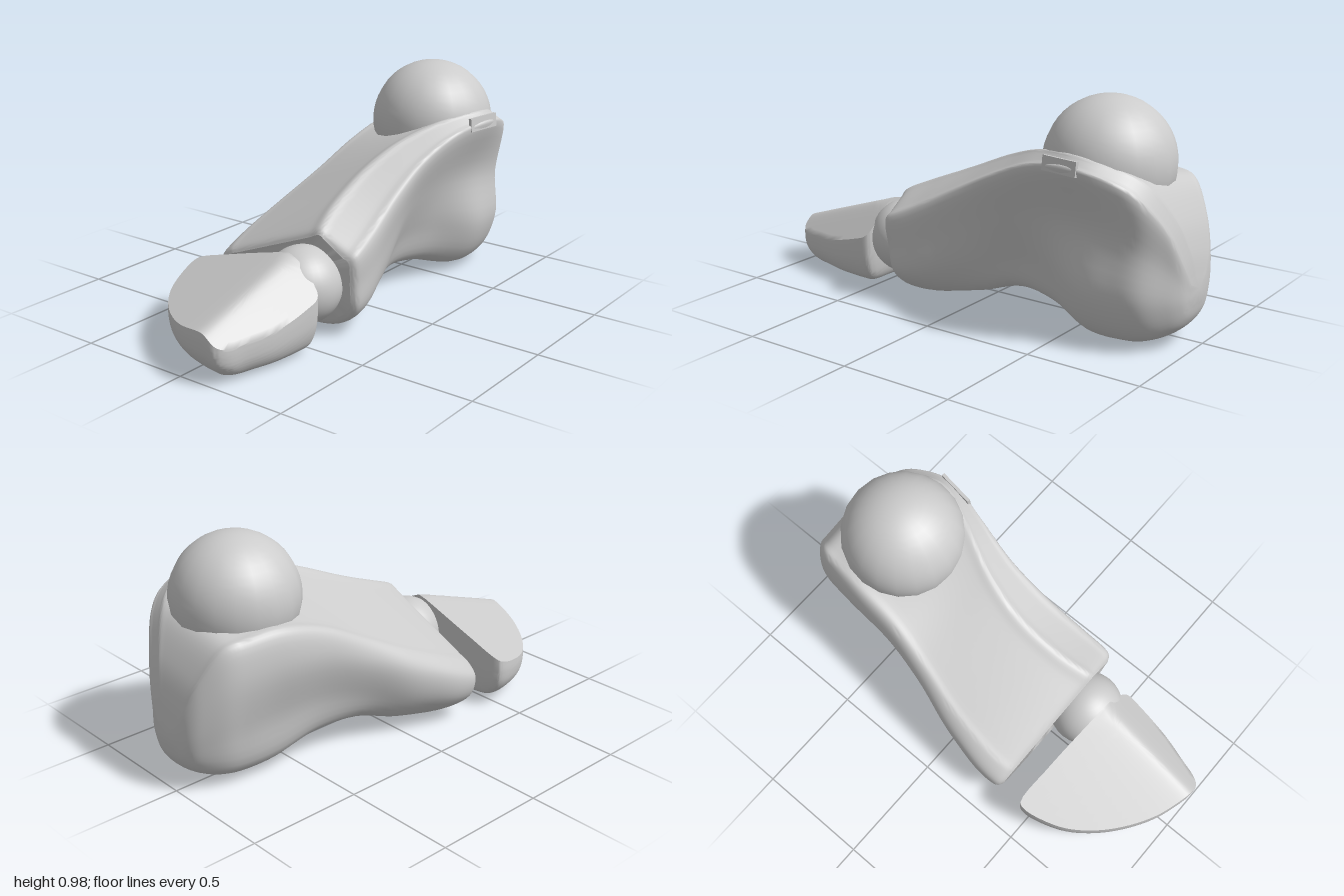
import * as THREE from 'three';
import { toCreasedNormals } from 'three/addons/utils/BufferGeometryUtils.js';

const RING = 84; // points around each cross-section
const STEPS = 6; // lofted steps between two section rows

// Smooth interpolation of all the columns between the section rows
function refine(rows) {
  const out = [];
  const at = (i) => rows[Math.min(Math.max(i, 0), rows.length - 1)];
  for (let i = 0; i < rows.length - 1; i++) {
    for (let s = 0; s < STEPS; s++) {
      const t = s / STEPS;
      out.push(rows[i].map((b, k) => {
        const a = at(i - 1)[k], c = at(i + 1)[k], d = at(i + 2)[k];
        return b + 0.5 * t * (c - a + t * (2 * a - 5 * b + 4 * c - d + t * (3 * (b - c) + d - a)));
      }));
    }
  }
  out.push(rows[rows.length - 1]);
  return out;
}

const closedCurve = (pts) => new THREE.CatmullRomCurve3(pts, true).getPoints(RING).slice(0, RING);

// One foot section: rounded sole, hollowed flanks, flat sloping top with a ridge
function section([z, xl, xr, yb, yl, rx, yr, yo, waist, arch]) {
  const X = (u) => xl + (xr - xl) * u;
  const hr = yo - yb, hl = yl - yb;
  const lx = X(0.07);
  const top = (t) => [rx + (lx - rx) * t, yr + (yl - yr) * t];
  const slant = (t) => [xr + (rx - xr) * t, yo + (yr - yo) * t];
  return closedCurve([
    [X(0.5), yb],
    [X(0.82) - arch * 0.6, yb + 0.05 * hr],
    [X(0.98) - arch, yb + 0.3 * hr],
    [xr - waist, yb + 0.65 * hr],
    slant(0), slant(0.25), slant(0.8),
    top(0), top(0.12), top(0.5), top(0.9), top(1),
    [xl + waist * 0.2, yb + 0.78 * hl],
    [X(0.02) + waist * 0.7, yb + 0.4 * hl],
    [X(0.18), yb + 0.08 * hl],
  ].map(([x, y]) => new THREE.Vector3(x, y, z)));
}

// Skin over a stack of rings, closed with a fan at both ends
function skin(rings, startCenter, endCenter) {
  const pos = [], index = [];
  [...rings.flat(), startCenter, endCenter].forEach((p) => pos.push(p.x, p.y, p.z));
  const last = (rings.length - 1) * RING, start = last + RING, end = start + 1;
  for (let j = 0; j < RING; j++) {
    const n = (j + 1) % RING;
    for (let i = 0; i < rings.length - 1; i++) {
      const a = i * RING + j, b = i * RING + n, c = a + RING, d = b + RING;
      index.push(a, c, b, b, c, d);
    }
    index.push(start, j, n, end, last + n, last + j);
  }
  const g = new THREE.BufferGeometry();
  g.setAttribute('position', new THREE.Float32BufferAttribute(pos, 3));
  g.setIndex(index);
  return toCreasedNormals(g, 0.75);
}

function footGeometry() {
  // Columns: z, left x, right x, sole y, left top y, ridge x, ridge y, right shoulder y, waist, arch
  const rings = refine([
    [0.368, -0.36, 0.325, 0.05, 0.24, 0.19, 0.44, 0.345, 0, 0],
    [0.335, -0.39, 0.35, 0.015, 0.26, 0.18, 0.47, 0.375, 0, 0],
    [0.2, -0.39, 0.34, 0.01, 0.315, 0.15, 0.53, 0.435, 0, 0.01],
    [0.0, -0.36, 0.318, 0.04, 0.4, 0.14, 0.615, 0.54, 0.02, 0.05],
    [-0.2, -0.31, 0.318, 0.095, 0.5, 0.18, 0.7, 0.64, 0.05, 0.11],
    [-0.4, -0.275, 0.355, 0.08, 0.6, 0.27, 0.765, 0.72, 0.07, 0.11],
    [-0.6, -0.262, 0.398, 0.02, 0.655, 0.35, 0.787, 0.745, 0.085, 0.06],
    [-0.76, -0.235, 0.365, 0.01, 0.65, 0.3, 0.745, 0.71, 0.06, 0.035],
    [-0.86, -0.2, 0.31, 0.03, 0.625, 0.23, 0.68, 0.645, 0.03, 0.01],
    [-0.94, -0.135, 0.22, 0.075, 0.5, 0.15, 0.54, 0.51, 0.01, 0],
    [-0.98, -0.08, 0.16, 0.13, 0.38, 0.1, 0.41, 0.38, 0, 0],
    [-0.995, -0.02, 0.11, 0.19, 0.29, 0.07, 0.3, 0.28, 0, 0],
  ]).map(section);
  // The front edge leans back towards the sole
  rings.flat().forEach((p) => {
    p.z -= 0.12 * (0.4 - p.y) * THREE.MathUtils.clamp((p.z - 0.1) / 0.25, 0, 1);
  });
  return skin(rings, new THREE.Vector3(0.02, 0.22, 0.3), new THREE.Vector3(0.045, 0.25, -1));
}

function toeGeometry() {
  // Footprint, from the back left corner round the front
  const outline = closedCurve([
    [-0.395, 0.463], [-0.405, 0.49], [-0.39, 0.57], [-0.345, 0.68], [-0.27, 0.78], [-0.17, 0.87],
    [-0.05, 0.945], [0.06, 0.985], [0.13, 1.0], [0.18, 0.995], [0.21, 0.96], [0.235, 0.88],
    [0.272, 0.75], [0.293, 0.58], [0.293, 0.52], [0.275, 0.5], [0.1, 0.487], [-0.2, 0.465],
  ].map(([x, z]) => new THREE.Vector3(x, 0, z)));
  // Two top planes meeting in a soft ridge
  const height = (x, z) => {
    const a = 0.23 + 0.31 * (x - 0.13) - 0.32 * (z - 1);
    const b = 0.39 - (x - 0.15) - 0.37 * (z - 0.5);
    return (a + b - Math.hypot(a - b, 0.03)) / 2;
  };
  const cx = 0.1, cz = 0.6, sole = 0.004;
  const ring = (scale, level) => outline.map((p) => {
    const x = cx + (p.x - cx) * scale, z = cz + (p.z - cz) * scale;
    return new THREE.Vector3(x, sole + (height(x, z) - sole) * level, z);
  });
  const rings = [];
  for (let i = 1; i <= 12; i++) rings.push(ring(i / 12, 1));
  // Wall columns: scale, share of the height
  refine([[1, 1], [1.003, 0.78], [0.985, 0.52], [0.93, 0.3], [0.84, 0.14], [0.68, 0.04], [0.45, 0]])
    .slice(1).forEach(([scale, level]) => rings.push(ring(scale, level)));
  return skin(rings, new THREE.Vector3(cx, height(cx, cz), cz), new THREE.Vector3(cx, sole, cz));
}

export function createModel() {
  const group = new THREE.Group();
  const material = new THREE.MeshStandardMaterial({ color: 0xcccccc });
  const add = (name, geometry, x = 0, y = 0, z = 0) => {
    const mesh = new THREE.Mesh(geometry, material);
    mesh.name = name;
    mesh.position.set(x, y, z);
    group.add(mesh);
    return mesh;
  };

  add('footBody', footGeometry());
  add('toes', toeGeometry());

  // Ball joints
  add('ankleBall', new THREE.SphereGeometry(0.27, 20, 24), 0.085, 0.71, -0.605);
  add('toeBall', new THREE.SphereGeometry(0.165, 32, 24), 0.13, 0.225, 0.405);

  // Small flat patch on the ankle rim
  const patch = add('rimPatch', new THREE.BoxGeometry(0.014, 0.06, 0.17), 0.38, 0.745, -0.56);
  patch.rotation.set(0, -0.15, 0.12);
  return group;
}
